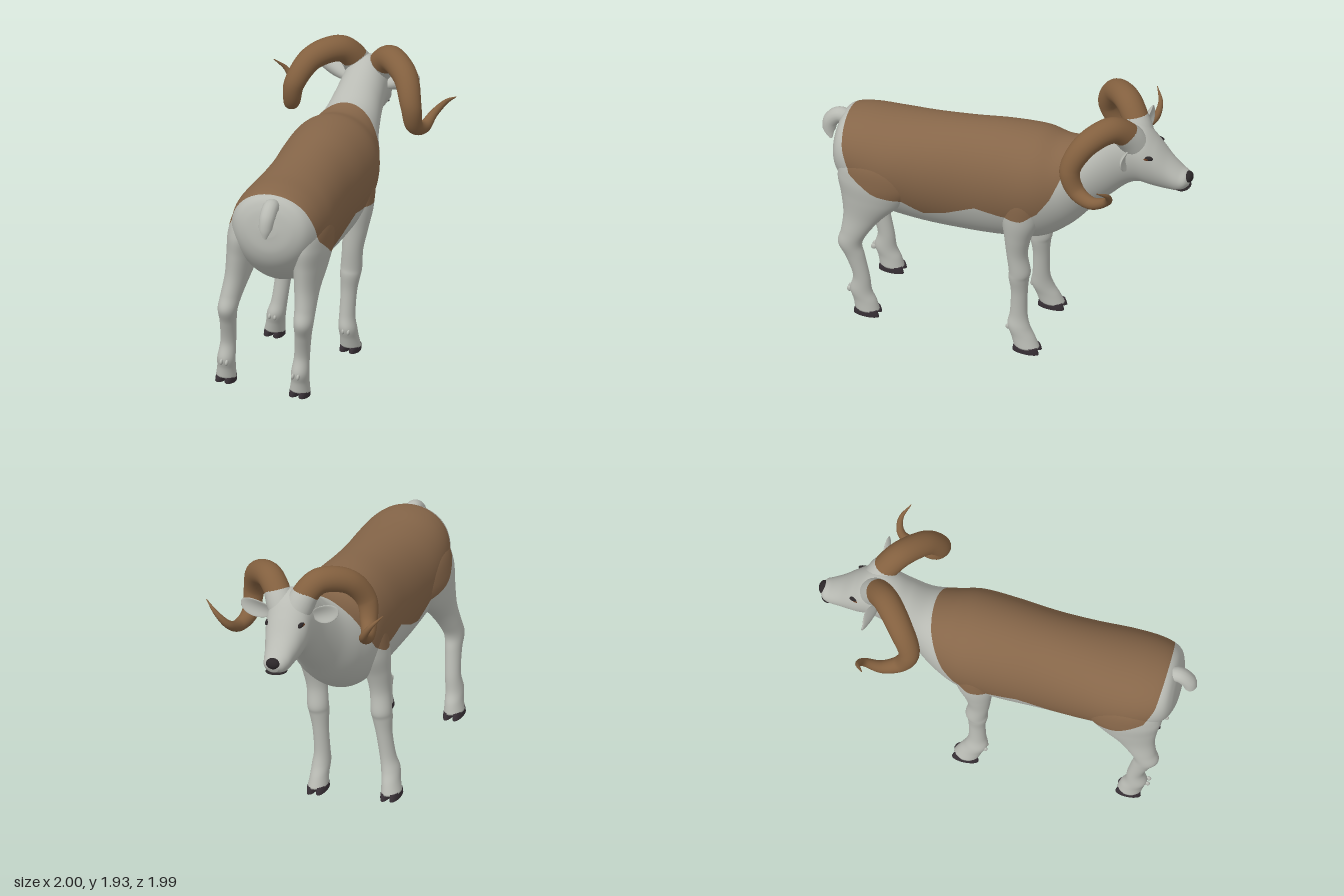
import * as THREE from 'three';
import { toCreasedNormals } from 'three/addons/utils/BufferGeometryUtils.js';

const V = (x, y, z) => new THREE.Vector3(x, y, z);
const paint = (name, color) => Object.assign(new THREE.MeshStandardMaterial({ color }), { name });

const wool = paint('pale wool', 0xb9bbb4);
const coat = paint('brown coat', 0x866649);
const hornMat = paint('horn', 0x83603f);
const hoofMat = paint('hoof', 0x393137);
const dark = paint('nose and eye', 0x2c2729);
const iris = paint('iris', 0x6b3d22);

// Lower edge of the brown coat as [z, y], from rump to shoulder
const coatEdge = [[-0.81, 1.42], [-0.77, 1.25], [-0.7, 1.1], [-0.52, 0.99], [-0.35, 0.96], [-0.2, 0.88],
  [-0.06, 0.93], [0.15, 1.05], [0.33, 1.03], [0.48, 1.04], [0.57, 1.11], [0.65, 1.24], [0.7, 1.38], [0.74, 1.5], [0.77, 1.66]];

// Height above the coat edge: positive inside the coat
function coatHeight(y, z) {
  for (let i = 1; i < coatEdge.length; i++) {
    const [z0, y0] = coatEdge[i - 1], [z1, y1] = coatEdge[i];
    if (z >= z0 && z < z1) return y - y0 - (y1 - y0) * (z - z0) / (z1 - z0);
  }
  return -0.3;
}

// Smooth loft; each row is [topZ, topY, bottomZ, bottomY, halfWidth, centreX]; egg narrows the underside
function loft(rows, steps, sides, side = 1, egg = 0) {
  const top = new THREE.CatmullRomCurve3(rows.map(r => V((r[5] || 0) * side, r[1], r[0])), false, 'catmullrom');
  const low = new THREE.CatmullRomCurve3(rows.map(r => V(r[4], r[3], r[2])), false, 'catmullrom');
  const pos = [], index = [];
  for (let i = 0; i <= steps; i++) {
    const a = top.getPoint(i / steps), b = low.getPoint(i / steps);
    for (let j = 0; j < sides; j++) {
      const t = j / sides * Math.PI * 2, c = 0.5 + Math.cos(t) / 2;
      pos.push(a.x + b.x * Math.sin(t) * (1 + egg * Math.cos(t)), b.y + (a.y - b.y) * c, b.z + (a.z - b.z) * c);
      if (i === steps) continue;
      const k = i * sides + j, n = i * sides + (j + 1) % sides;
      index.push(k, k + sides, n, n, k + sides, n + sides);
    }
  }
  // end caps
  for (const i of [0, steps]) {
    const a = top.getPoint(i / steps), b = low.getPoint(i / steps), mid = pos.length / 3;
    pos.push(a.x, (a.y + b.y) / 2, (a.z + b.z) / 2);
    for (let j = 0; j < sides; j++) {
      const k = i * sides + j, n = i * sides + (j + 1) % sides;
      index.push(...(i ? [mid, n, k] : [mid, k, n]));
    }
  }
  const g = new THREE.BufferGeometry();
  g.setAttribute('position', new THREE.Float32BufferAttribute(pos, 3));
  // make sure the surface faces outward
  let volume = 0;
  const p = i => V().fromArray(pos, i * 3);
  for (let i = 0; i < index.length; i += 3) volume += p(index[i]).dot(p(index[i + 1]).cross(p(index[i + 2])));
  if (volume < 0) index.reverse();
  g.setIndex(index);
  g.computeVertexNormals();
  return g;
}

// Cut the faces along the coat edge and sort them into wool and coat groups
function skin(g) {
  const pos = [...g.attributes.position.array], nor = [...g.attributes.normal.array], idx = g.index.array;
  const parts = [[], []], h = k => coatHeight(pos[k * 3 + 1], pos[k * 3 + 2]);
  const cut = (a, b) => {
    const t = h(a) / (h(a) - h(b));
    for (const list of [pos, nor]) for (let c = 0; c < 3; c++) list.push(list[a * 3 + c] * (1 - t) + list[b * 3 + c] * t);
    return pos.length / 3 - 1;
  };
  for (let i = 0; i < idx.length; i += 3) {
    const t = [...idx.slice(i, i + 3)], s = t.map(k => (h(k) > 0 ? 1 : 0)), sum = s[0] + s[1] + s[2];
    if (sum % 3 === 0) { parts[s[0]].push(...t); continue; }
    const lone = s.indexOf(sum === 1 ? 1 : 0);
    const a = t[lone], b = t[(lone + 1) % 3], c = t[(lone + 2) % 3], ab = cut(a, b), ac = cut(a, c);
    parts[s[lone]].push(a, ab, ac);
    parts[1 - s[lone]].push(ab, b, c, ab, c, ac);
  }
  g.setAttribute('position', new THREE.Float32BufferAttribute(pos, 3));
  g.setAttribute('normal', new THREE.Float32BufferAttribute(nor, 3));
  g.setIndex(parts.flat());
  g.addGroup(0, parts[0].length, 0);
  g.addGroup(parts[0].length, parts[1].length, 1);
  return g;
}

// Tube whose radius follows a list along its length
function taperTube(points, radii, steps, sides) {
  const path = new THREE.CatmullRomCurve3(points);
  const g = new THREE.TubeGeometry(path, steps, 1, sides), p = g.attributes.position, v = V();
  for (let i = 0; i <= steps; i++) {
    const c = path.getPointAt(i / steps), f = i / steps * (radii.length - 1);
    const k = Math.min(Math.floor(f), radii.length - 2), r = radii[k] + (radii[k + 1] - radii[k]) * (f - k);
    for (let j = 0; j <= sides; j++) {
      const n = i * (sides + 1) + j;
      v.fromBufferAttribute(p, n).sub(c).multiplyScalar(r).add(c);
      p.setXYZ(n, v.x, v.y, v.z);
    }
  }
  return g;
}

const trunk = [[-0.87, 1.2, -0.87, 1.12, 0.05], [-0.855, 1.31, -0.85, 1.0, 0.17], [-0.81, 1.38, -0.79, 0.9, 0.25],
  [-0.68, 1.415, -0.68, 0.81, 0.297], [-0.48, 1.435, -0.5, 0.73, 0.315], [-0.25, 1.465, -0.27, 0.695, 0.303],
  [0, 1.505, 0, 0.695, 0.296], [0.25, 1.545, 0.3, 0.725, 0.308], [0.48, 1.56, 0.56, 0.785, 0.31], [0.64, 1.54, 0.74, 0.92, 0.262],
  [0.78, 1.582, 0.88, 1.09, 0.2], [0.9, 1.682, 1.0, 1.225, 0.167], [0.99, 1.76, 1.1, 1.33, 0.152],
  [1.08, 1.8, 1.18, 1.37, 0.147], [1.18, 1.78, 1.26, 1.365, 0.144], [1.27, 1.7, 1.33, 1.36, 0.124],
  [1.36, 1.6, 1.39, 1.36, 0.102], [1.44, 1.53, 1.44, 1.365, 0.087], [1.49, 1.5, 1.475, 1.385, 0.07],
  [1.515, 1.46, 1.5, 1.41, 0.035]];

const frontLeg = [[0.53, 1.36, 0.36, 1.36, 0.06, 0.15], [0.585, 1.2, 0.32, 1.2, 0.098, 0.203], [0.575, 1.02, 0.32, 1.02, 0.1, 0.22],
  [0.525, 0.86, 0.345, 0.86, 0.083, 0.224], [0.505, 0.72, 0.365, 0.72, 0.069, 0.222], [0.53, 0.59, 0.387, 0.59, 0.07, 0.222],
  [0.522, 0.53, 0.388, 0.53, 0.066, 0.222], [0.518, 0.42, 0.408, 0.42, 0.053, 0.223], [0.525, 0.26, 0.41, 0.26, 0.052, 0.23],
  [0.55, 0.17, 0.4, 0.17, 0.06, 0.242], [0.59, 0.1, 0.43, 0.1, 0.06, 0.25], [0.624, 0.035, 0.455, 0.035, 0.066, 0.257]];

const hindLeg = [[-0.4, 1.3, -0.62, 1.3, 0.06, 0.14], [-0.3, 1.18, -0.765, 1.18, 0.1, 0.205], [-0.27, 1.04, -0.795, 1.04, 0.116, 0.22],
  [-0.35, 0.9, -0.765, 0.9, 0.103, 0.226], [-0.48, 0.75, -0.74, 0.75, 0.08, 0.235], [-0.565, 0.62, -0.745, 0.62, 0.068, 0.25],
  [-0.6, 0.53, -0.76, 0.52, 0.063, 0.257], [-0.58, 0.44, -0.705, 0.42, 0.054, 0.254], [-0.54, 0.28, -0.65, 0.28, 0.051, 0.25],
  [-0.52, 0.17, -0.665, 0.17, 0.058, 0.25], [-0.485, 0.1, -0.64, 0.1, 0.059, 0.25], [-0.463, 0.035, -0.625, 0.035, 0.066, 0.25]];

const hornPath = [[0.05, 1.68, 1.14], [0.095, 1.77, 1.09], [0.175, 1.833, 1.01], [0.318, 1.772, 0.883], [0.395, 1.607, 0.814],
  [0.415, 1.468, 0.873], [0.449, 1.433, 0.987], [0.474, 1.496, 1.1], [0.539, 1.583, 1.119], [0.62, 1.65, 1.067]];

export function createModel() {
  const model = new THREE.Group(), ram = new THREE.Group();
  model.name = 'hornedSheep';
  ram.name = 'sheepBody';
  model.add(ram);

  const add = (name, geo, mat) => {
    const m = new THREE.Mesh(geo, mat);
    m.name = name;
    ram.add(m);
    return m;
  };
  const blob = (name, mat, at, size) => {
    const m = add(name, new THREE.SphereGeometry(1, 24, 16), mat);
    m.position.set(...at);
    m.scale.set(...size);
  };

  add('bodyAndHead', skin(loft(trunk, 180, 96, 1, 0.08)), [wool, coat]);
  add('tail', taperTube([V(0, 1.3, -0.78), V(0, 1.32, -0.87), V(0, 1.265, -0.925), V(0, 1.19, -0.935), V(0, 1.12, -0.92)],
    [0.046, 0.052, 0.052, 0.045, 0.01], 24, 16), wool);
  blob('nose', dark, [0, 1.47, 1.492], [0.048, 0.038, 0.034]);
  blob('mouth', dark, [0, 1.398, 1.456], [0.074, 0.01, 0.056]);

  for (const s of [1, -1]) {
    const side = s > 0 ? 'left' : 'right';

    // legs with cloven hooves and dewclaws
    for (const [name, rows] of [['FrontLeg', frontLeg], ['HindLeg', hindLeg]]) {
      add(side + name, skin(loft(rows, 90, 36, s)), [wool, coat]);
      const [front, , back, , , x] = rows[rows.length - 1];
      for (const d of [-1, 1]) {
        const cx = x + d * 0.032;
        const toe = [[front - 0.006, 0.044, back + 0.005, 0.038, 0.03, cx], [front + 0.004, 0.022, back + 0.002, 0.022, 0.032, cx],
          [front + 0.01, 0, back + 0.002, 0, 0.032, cx]];
        add(side + name + 'Hoof', toCreasedNormals(loft(toe, 8, 24, s), 0.7), hoofMat);
        blob(side + name + 'Dewclaw', wool, [(x + d * 0.018 - 0.008) * s, 0.155, back - 0.042], [0.011, 0.02, 0.018]);
      }
    }

    // curling horn with a woolly collar at its root
    const pts = hornPath.map(([x, y, z]) => V(x * s, y, z));
    add(side + 'Horn', taperTube(pts, [0.08, 0.086, 0.086, 0.083, 0.077, 0.068, 0.058, 0.045, 0.03, 0.018, 0.002], 96, 24), hornMat);
    add(side + 'HornCollar', taperTube([pts[0], pts[0].clone().lerp(pts[1], 0.6), pts[1].clone().lerp(pts[2], 0.12)],
      [0.095, 0.095, 0.086], 10, 24), wool);

    // cupped, round-tipped ear
    const earGeo = new THREE.SphereGeometry(1, 24, 18), p = earGeo.attributes.position;
    for (let i = 0; i < p.count; i++) {
      const x = p.getX(i), y = p.getY(i);
      p.setXYZ(i, x * 0.118, y * 0.06 * (1 + 0.15 * x), p.getZ(i) * 0.016 + 0.03 * y * y);
    }
    earGeo.computeVertexNormals();
    const ear = add(side + 'Ear', earGeo, wool);
    ear.position.set(0.235 * s, 1.66, 1.115);
    ear.rotation.set(0, -0.2 * s, 0.4 * s);
    ear.scale.x = s;

    // long dark eye with a brown iris
    blob(side + 'Eye', dark, [0.115 * s, 1.633, 1.236], [0.018, 0.018, 0.05]);
    blob(side + 'Iris', iris, [0.123 * s, 1.63, 1.234], [0.013, 0.011, 0.03]);
  }

  // stance: turned and gently tilted
  const forward = V(0.653, -0.073, -0.754).normalize();
  const up = V(0.75, -0.095, 0.654).cross(forward).normalize();
  const left = up.clone().cross(forward);
  ram.quaternion.setFromRotationMatrix(new THREE.Matrix4().makeBasis(left, up, forward));
  ram.position.set(-0.35, 0.072, 0.23);
  return model;
}
